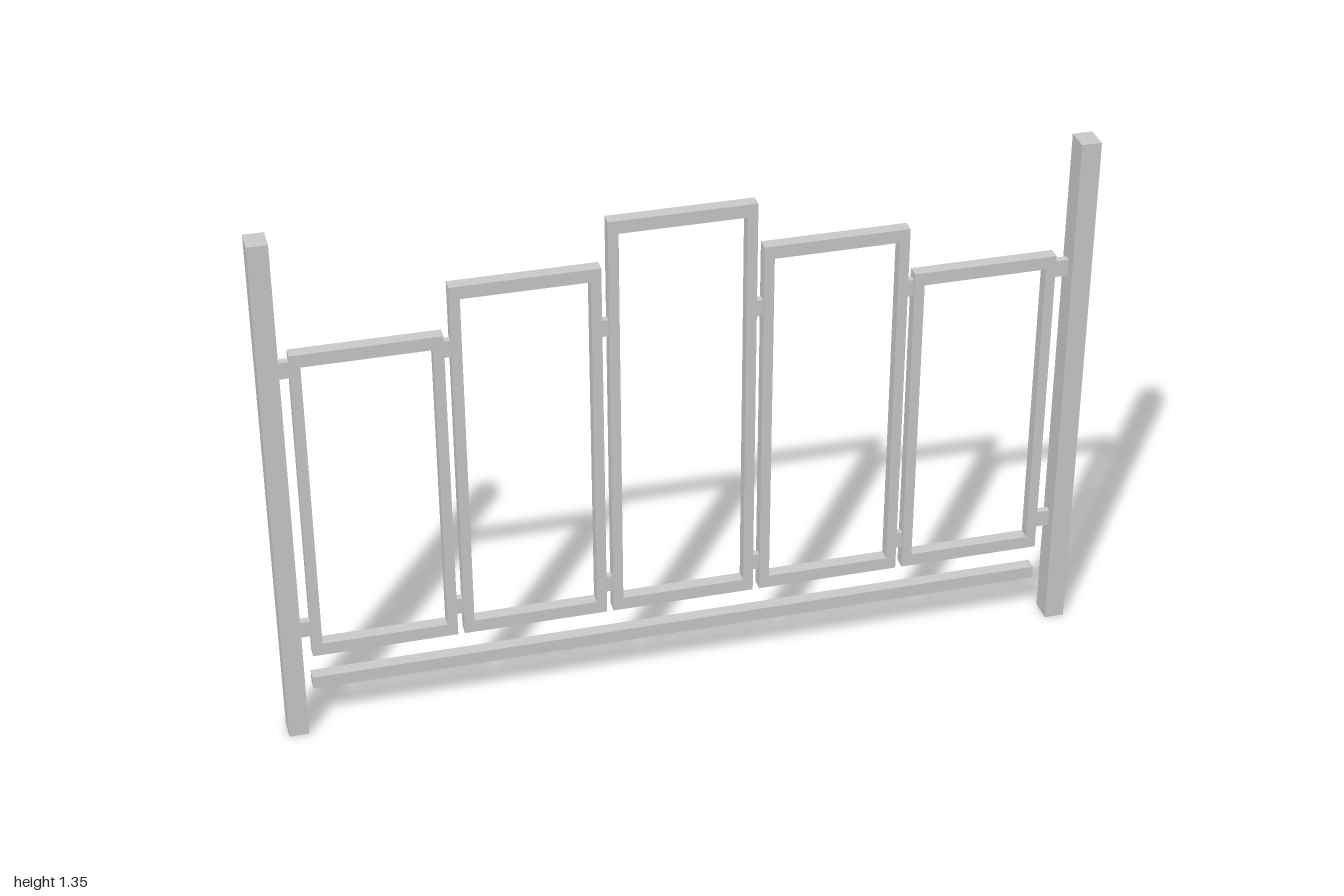
import * as THREE from 'three';

const material = new THREE.MeshStandardMaterial({ color: 0xcccccc, flatShading: true });

// Box given by its limits on each axis
function box(name, [x0, x1], [y0, y1], [z0, z1]) {
  const mesh = new THREE.Mesh(new THREE.BoxGeometry(x1 - x0, y1 - y0, z1 - z0), material);
  mesh.position.set((x0 + x1) / 2, (y0 + y1) / 2, (z0 + z1) / 2);
  mesh.name = name;
  return mesh;
}

// Rectangular outline, used for both the frame and its opening
function rectangle(path, x0, x1, y0, y1) {
  path.moveTo(x0, y0);
  path.lineTo(x1, y0);
  path.lineTo(x1, y1);
  path.lineTo(x0, y1);
  path.closePath();
  return path;
}

export function createModel() {
  const model = new THREE.Group();
  model.name = 'steppedGate';

  const postHeight = 1.353, postWidth = 0.049, postHalfDepth = 0.031;
  const frameZ = [-0.021, 0.011], hingeZ = [-0.013, 0.005];
  const bottom = 0.214, stile = 0.025, bar = 0.033;
  const width = 0.355, pitch = 0.3715, middle = -0.004;
  const tops = [1.053, 1.177, 1.294, 1.177, 1.053];

  // Square end posts
  const inner = 1 - postWidth;
  model.add(box('rightPost', [-1, -inner], [0, postHeight], [-postHalfDepth, postHalfDepth]));
  model.add(box('leftPost', [inner, 1], [0, postHeight], [-postHalfDepth, postHalfDepth]));

  // Open frames, stepping up to the middle
  const edges = [-inner];
  tops.forEach((top, i) => {
    const x0 = middle + (i - 2) * pitch - width / 2, x1 = x0 + width;
    edges.push(x0, x1);
    const shape = rectangle(new THREE.Shape(), x0, x1, bottom, top);
    shape.holes.push(rectangle(new THREE.Path(), x0 + stile, x1 - stile, bottom + bar, top - bar));
    const geometry = new THREE.ExtrudeGeometry(shape, { depth: frameZ[1] - frameZ[0], bevelEnabled: false });
    geometry.translate(0, 0, frameZ[0]);
    const frame = new THREE.Mesh(geometry, material);
    frame.name = `panelFrame${i + 1}`;
    model.add(frame);
  });
  edges.push(inner);

  // Upper and lower hinge blocks across every gap
  for (let i = 0; i < edges.length; i += 2) {
    const gap = [edges[i], edges[i + 1]];
    model.add(box('lowerHinge', gap, [0.27, 0.313], hingeZ));
    model.add(box('upperHinge', gap, [0.992, 1.035], hingeZ));
  }

  // Free rail below the frames
  model.add(box('bottomRail', [-0.93, 0.916], [0.118, 0.151], frameZ));

  return model;
}
